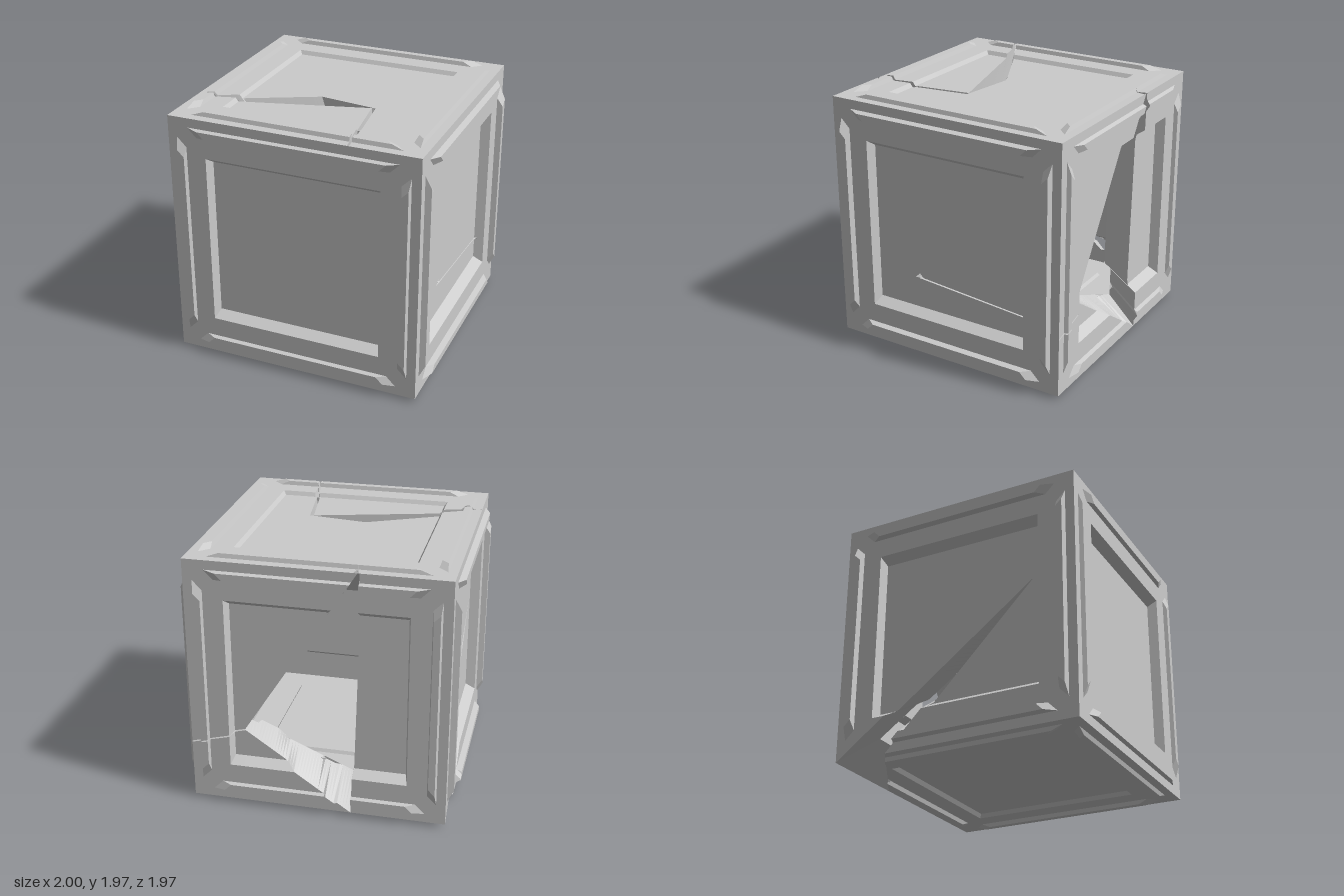
import * as THREE from 'three';

const H = 0.955;            // half size of the crate body
const T = 0.22;             // wall thickness
const I = H - T;            // half size of the hollow
const S = I / H;            // inner skin is a scaled copy of the outer skin
const CY = 0.985;           // height of the centre
const P = 0.665;            // panel recess half size
const DEPTH = [0.075, 0.03, 0.075]; // recess depth on x, y and z faces
const RIB = [0.045, 0.03, 0.03];    // rib height on x, y and z faces
const SLOPE = [0.02, 0.05, 0.02];   // width of the recess slopes along x, y, z

const clamp = (t, a, b) => Math.min(b, Math.max(a, t));
const area = p => p.reduce((s, a, i) => {
  const b = p[(i + 1) % p.length];
  return s + a[0] * b[1] - a[1] * b[0];
}, 0);
const ccw = p => (area(p) < 0 ? [...p].reverse() : p);

// Keep the part of a polygon left (side 1) or right (side -1) of the line a-b
function clip(poly, a, b, side) {
  const dist = p => side * ((b[0] - a[0]) * (p[1] - a[1]) - (b[1] - a[1]) * (p[0] - a[0]));
  const out = [];
  poly.forEach((p, i) => {
    const q = poly[(i + 1) % poly.length], dp = dist(p), dq = dist(q);
    if (dp >= 0) out.push(p);
    if (dp * dq < 0) out.push(p.map((c, k) => c + (q[k] - c) * dp / (dp - dq)));
  });
  return out.length > 2 && Math.abs(area(out)) > 1e-7 ? out : [];
}

// Cut convex holes out of convex polygons; closed cracks have no area and are skipped
function cut(polys, holes) {
  for (const p of holes.filter(o => area(o) > 1e-6)) {
    polys = polys.flatMap(poly => {
      const pieces = [];
      let rest = poly;
      p.forEach((a, i) => {
        if (!rest.length) return;
        const b = p[(i + 1) % p.length];
        pieces.push(clip(rest, a, b, -1));
        rest = clip(rest, a, b, 1);
      });
      return pieces.filter(q => q.length);
    });
  }
  return polys;
}

// Sloped ring of four quads between two rectangles
function ring(u0, v0, w0, u1, v1, w1) {
  const a = [[-u0, -v0, w0], [u0, -v0, w0], [u0, v0, w0], [-u0, v0, w0]];
  const b = [[-u1, -v1, w1], [u1, -v1, w1], [u1, v1, w1], [-u1, v1, w1]];
  return a.map((p, i) => [p, a[(i + 1) % 4], b[(i + 1) % 4], b[i]]);
}

// Four mitred ribs around the panel
function ribs(h) {
  const base = [[-0.73, 0.815, 0], [0.73, 0.815, 0], [0.8, 0.885, 0], [-0.8, 0.885, 0]];
  const top = [[-0.66, 0.825, h], [0.66, 0.825, h], [0.71, 0.875, h], [-0.71, 0.875, h]];
  const bar = [top, ...base.map((p, i) => [p, base[(i + 1) % 4], top[(i + 1) % 4], top[i]])];
  const turns = [([u, v, w]) => [u, v, w], ([u, v, w]) => [-v, u, w],
    ([u, v, w]) => [-u, -v, w], ([u, v, w]) => [v, -u, w]];
  return turns.flatMap(t => bar.map(q => q.map(t)));
}

// Relief height of the outer skin at a point of a face
function relief(u, v, su, sv, h, d) {
  const a = Math.abs(u), b = Math.abs(v);
  const sink = clamp(Math.min((P - a) / su, (P - b) / sv), 0, 1);
  const rise = (l, c) => clamp(Math.min((c - 0.815) / 0.01, (0.885 - c) / 0.01,
    (c - 0.085 - l) / 0.08), 0, 1);
  return h * Math.max(rise(a, b), rise(b, a)) - d * sink;
}

// Broken edges joining a hole in the outer skin to its match in the inner skin
function brokenEdges({ p, inner, open }, height) {
  const quads = [], n = 40;
  const mix = (a, b, t) => [a[0] + (b[0] - a[0]) * t, a[1] + (b[1] - a[1]) * t];
  p.forEach((a, i) => {
    if (open && i === p.length - 1) return;
    const j = (i + 1) % p.length;
    const at = t => {
      const [u, v] = mix(a, p[j], t), [x, y] = mix(inner[i], inner[j], t);
      return [[u, v, height(u, v)], [x, y, S * height(x / S, y / S) - T]];
    };
    for (let k = 0; k < n; k++) {
      const [t0, b0] = at(k / n), [t1, b1] = at((k + 1) / n);
      quads.push([t0, t1, b1, b0]);
    }
  });
  return quads;
}

// Give a hole counter-clockwise corners and, by default, a straight way through the wall
function makeHole({ p, inner, open }) {
  const q = inner ?? p.map(c => c.map(t => clamp(t, -I, I)));
  return area(p) < 0 ? { p: [...p].reverse(), inner: [...q].reverse(), open } : { p, inner: q, open };
}

// Faces: axis, side and holes. u and v are the next two axes in cyclic order;
// an open hole has no broken edge between its last and first corner.
const FACES = [
  { name: 'front', axis: 2, side: 1, holes: [] },
  { name: 'back', axis: 2, side: -1, holes: [
    { p: [[-0.25, -H], [0.567, -0.395], [-0.295, H], [-0.31, H]],
      inner: [[-0.25, -I], [0.6, -0.37], [-0.12, I], [-0.295, I]] },
    { p: [[H, -0.495], [0.56, -0.388], [0.56, -0.4], [H, -0.506]], open: true,
      inner: [[I, -0.45], [0.6, -0.4], [0.6, -0.4], [I, -0.45]] }] },
  { name: 'left', axis: 0, side: 1, holes: [
    { p: [[-0.375, 0.32], [-0.335, 0.28], [-0.365, 0.25]],
      inner: [[-0.19, 0.26], [-0.18, 0.04], [-0.265, 0.18]] },
    { p: [[-0.364, 0.28], [-0.376, 0.28], [-0.453, -0.65], [-0.443, -0.65]],
      inner: [[-0.34, 0.24], [-0.34, 0.24], [-0.43, -0.65], [-0.43, -0.65]] }] },
  { name: 'right', axis: 0, side: -1, holes: [
    { p: [[-H, -0.54], [0.205, 0.6], [-H, -H]], open: true }] },
  { name: 'top', axis: 1, side: 1, holes: [
    { p: [[0.14, -0.12], [0.2, 0.32], [0.55, -H]],
      inner: [[0.16, -0.04], [0.21, 0.32], [0.49, -I]] },
    { p: [[0.2, 0.3], [0.2, 0.33], [0.63, 0.385], [0.63, 0.36]],
      inner: [[0.2, 0.32], [0.2, 0.32], [0.63, 0.36], [0.63, 0.36]] },
    { p: [[H, 0.435], [0.63, 0.4], [0.63, 0.365], [H, 0.42]], open: true,
      inner: [[I, 0.37], [0.63, 0.36], [0.63, 0.36], [I, 0.37]] },
    { p: [[-H, -0.305], [-0.87, -0.285], [-H, -0.265]], open: true }] },
  { name: 'bottom', axis: 1, side: -1, holes: [
    { p: [[-0.54, -H], [-H, -0.25], [-H, -H]], open: true }] },
];

export function createModel() {
  const crate = new THREE.Group();
  crate.name = 'brokenCrate';
  const material = new THREE.MeshStandardMaterial({
    color: 0xcccccc, flatShading: true, side: THREE.DoubleSide });

  for (const { name, axis, side, holes: raw } of FACES) {
    const face = new THREE.Group();
    face.name = name + 'Wall';
    crate.add(face);
    const ua = (axis + 1) % 3, va = (axis + 2) % 3;
    const su = SLOPE[ua], sv = SLOPE[va], h = RIB[axis], d = DEPTH[axis];
    const holes = raw.map(makeHole);
    const outerHoles = holes.map(o => o.p), innerHoles = holes.map(o => o.inner);

    const add = (part, polys, flip = false) => {
      const pos = [];
      const put = p => {
        const c = [0, CY, 0];
        c[ua] += p[0];
        c[va] += p[1];
        c[axis] += side * (H + p[2]);
        pos.push(...c);
      };
      for (const q of polys) {
        const o = (side < 0) !== flip ? [...q].reverse() : q;
        for (let i = 1; i < o.length - 1; i++) [o[0], o[i], o[i + 1]].forEach(put);
      }
      if (!pos.length) return;
      const geo = new THREE.BufferGeometry();
      geo.setAttribute('position', new THREE.Float32BufferAttribute(pos, 3));
      geo.computeVertexNormals();
      const mesh = new THREE.Mesh(geo, material);
      mesh.name = name + part;
      face.add(mesh);
    };

    // Outer frame, sunken panel and ribs
    const pu = P - su, pv = P - sv;
    const frame = ring(H, H, 0, P, P, 0).map(ccw);
    const panel = [...ring(P, P, 0, pu, pv, -d),
      [[-pu, -pv, -d], [pu, -pv, -d], [pu, pv, -d], [-pu, pv, -d]]].map(ccw);
    const bars = ribs(h).map(ccw);
    add('Frame', cut(frame, outerHoles));
    add('Panel', cut(panel, outerHoles));
    add('Ribs', cut(bars, outerHoles));

    // Inner skin, and the broken edges through the wall
    const skin = [...frame, ...panel, ...bars]
      .map(q => q.map(([u, v, w]) => [u * S, v * S, w * S - T]));
    add('InnerSkin', cut(skin, innerHoles), true);
    const height = (u, v) => relief(u, v, su, sv, h, d);
    add('BrokenEdges', holes.flatMap(o => brokenEdges(o, height)));
  }
  return crate;
}
